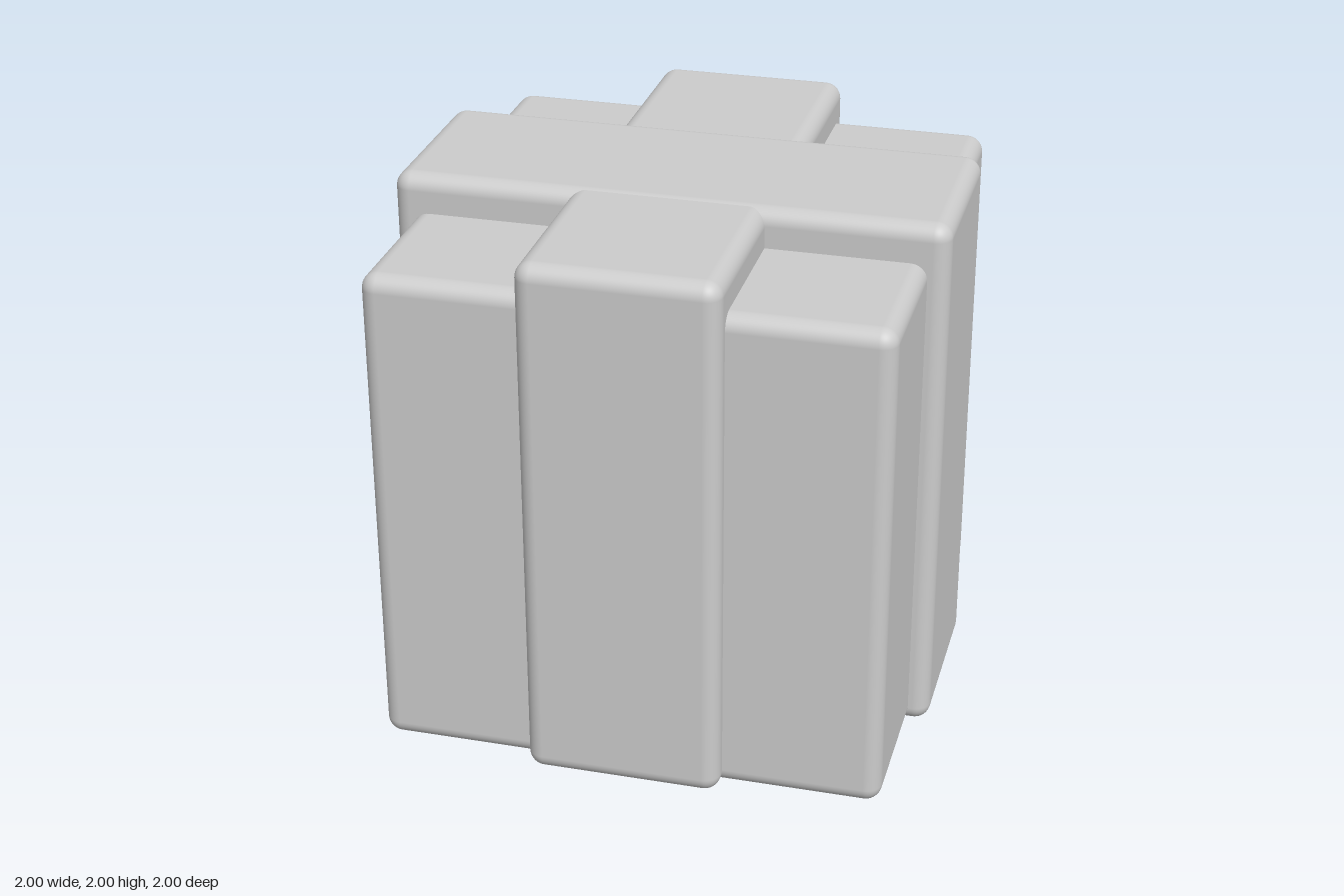
import * as THREE from 'three';
import { RoundedBoxGeometry } from 'three/addons/geometries/RoundedBoxGeometry.js';

export function createModel() {
  const group = new THREE.Group();
  const material = new THREE.MeshStandardMaterial({ color: 0xcccccc });

  // A softly rounded block resting with its underside at the given height
  function addBlock(name, width, height, depth, bottom) {
    const geometry = new RoundedBoxGeometry(width, height, depth, 6, 0.06);
    const block = new THREE.Mesh(geometry, material);
    block.name = name;
    block.position.y = bottom + height / 2;
    group.add(block);
  }

  // Main cube, with two crossing slabs that stand proud of its sides and top
  addBlock('coreBlock', 1.85, 1.85, 1.85, 0.01);
  addBlock('sidewaysSlab', 2, 2, 0.71, 0);
  addBlock('frontToBackSlab', 0.71, 1.99, 2, 0.005);

  return group;
}
